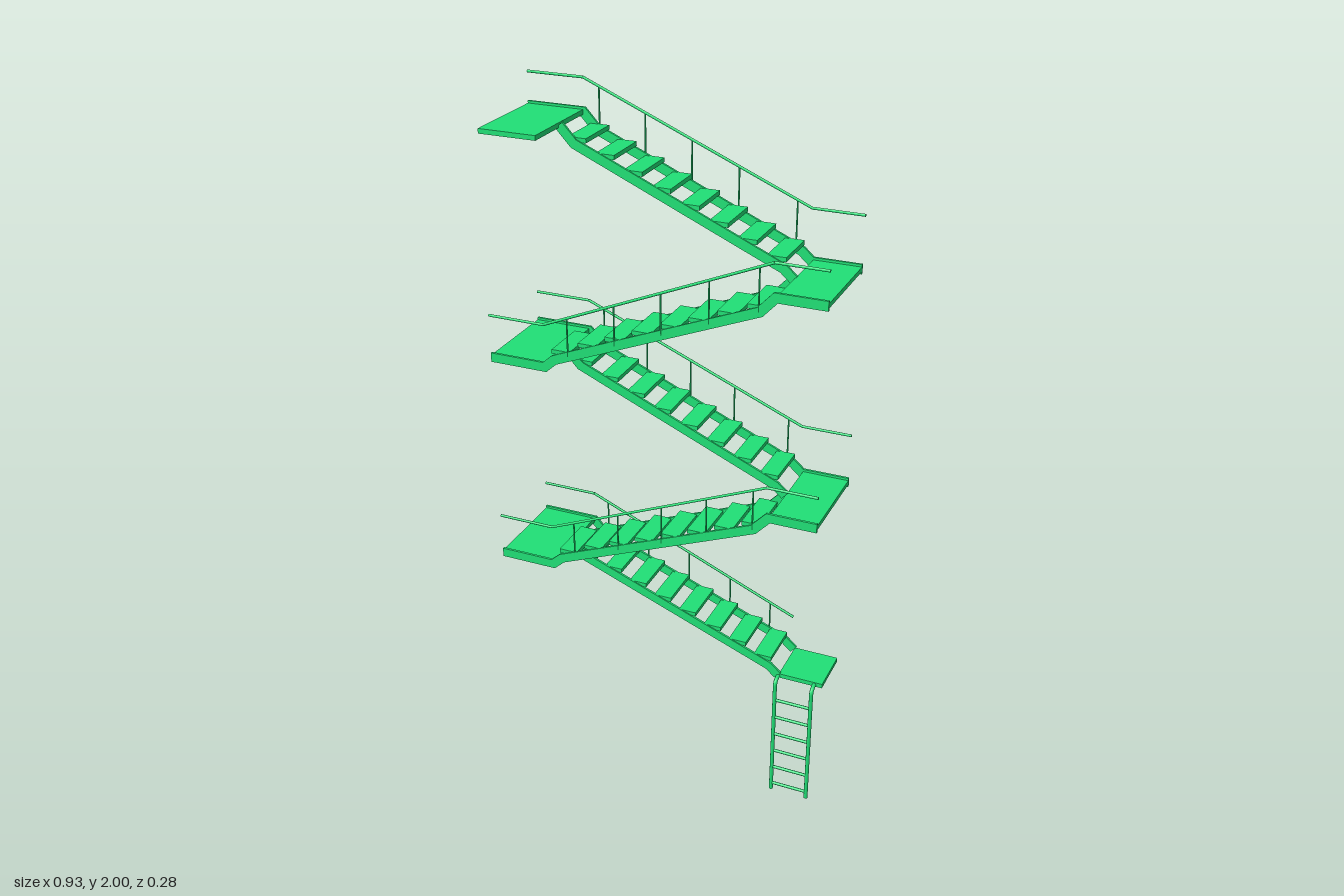
import * as THREE from 'three';

const green = new THREE.MeshStandardMaterial({ color: 0x20e076 });
green.name = 'green paint';

const V = (x, y, z) => new THREE.Vector3(x, y, z);
const DEPTH = 0.135, END = 0.466, LEFT = -0.305, RIGHT = 0.333;

function add(parent, geometry, name) {
  const mesh = new THREE.Mesh(geometry, green);
  mesh.name = name;
  parent.add(mesh);
  return mesh;
}

// Box given by its lower and upper corners
function box(parent, name, x0, x1, y0, y1, z0, z1) {
  add(parent, new THREE.BoxGeometry(x1 - x0, y1 - y0, z1 - z0), name)
    .position.set((x0 + x1) / 2, (y0 + y1) / 2, (z0 + z1) / 2);
}

// Round bar between two points
function bar(parent, name, a, b, r, sides = 8) {
  const mesh = add(parent, new THREE.CylinderGeometry(r, r, a.distanceTo(b), sides), name);
  mesh.position.copy(a).add(b).multiplyScalar(0.5);
  mesh.quaternion.setFromUnitVectors(V(0, 1, 0), b.clone().sub(a).normalize());
}

// Flat steel beam of even height following a bent centre line of [x, y]
function beam(parent, name, points, z, height = 0.026, width = 0.007) {
  const p = points.map(([x, y]) => new THREE.Vector2(x, y));
  const up = [], down = [];
  p.forEach((q, i) => {
    const d0 = q.clone().sub(p[Math.max(i - 1, 0)]).normalize();
    const d1 = p[Math.min(i + 1, p.length - 1)].clone().sub(q).normalize();
    const t = d0.clone().add(d1).normalize();
    const known = d1.length() ? d1 : d0;
    const h = height / 2 / Math.max(0.5, t.dot(known));
    up.push(new THREE.Vector2(q.x - t.y * h, q.y + t.x * h));
    down.unshift(new THREE.Vector2(q.x + t.y * h, q.y - t.x * h));
  });
  const geometry = new THREE.ExtrudeGeometry(new THREE.Shape([...up, ...down]), { depth: width, bevelEnabled: false });
  add(parent, geometry, name).position.z = z - width / 2;
}

// One flight: stringers, treads, handrail and posts
function flight(low, high, back, first) {
  const group = new THREE.Group();
  group.name = back ? 'backFlight' : 'frontFlight';
  const outer = (back ? -1 : 1) * (DEPTH - 0.002);
  const inner = back ? 0.004 : -0.002;
  const yLeft = back ? high : low, yRight = back ? low : high;

  // Bent stringers; the outer one carries on along the landings
  const slope = back
    ? [[LEFT, high], [-0.265, high - 0.043], [0.305, low + 0.025], [RIGHT, low]]
    : [[LEFT, low], [-0.277, low + 0.025], [0.293, high - 0.043], [RIGHT, high]];
  beam(group, 'innerStringer', slope, inner);
  beam(group, 'outerStringer', [[-END, yLeft], ...slope, ...(first ? [] : [[END, yRight]])], outer);

  // Treads
  const n = 8;
  for (let i = 0; i < n; i++) {
    const x = -0.2575 + i * 0.0775;
    const t = back ? 1 - i / (n - 1) : i / (n - 1);
    const y = THREE.MathUtils.lerp(low + 0.048, high - 0.033, t);
    box(group, 'tread', x - 0.026, x + 0.026, y - 0.006, y + 0.006, Math.min(inner, outer), Math.max(inner, outer));
  }

  // Handrail
  const z = (back ? -1 : 1) * DEPTH;
  const railLeft = back ? high + 0.089 : low + 0.121;
  const railRight = back ? low + (first ? 0.11 : 0.14) : high + 0.089;
  const a = V(LEFT, railLeft, z), b = V(0.327, railRight, z);
  bar(group, 'handrail', V(-END, railLeft, z), a, 0.0038);
  bar(group, 'handrail', a, b, 0.0038);
  if (!first) bar(group, 'handrail', b, V(END, railRight, z), 0.0038);

  // Posts from stringer to handrail
  const posts = back ? [-0.26, -0.13, 0, 0.13, first ? 0.255 : 0.288] : [-0.235, -0.1, 0.03, 0.16, 0.29];
  for (const x of posts) {
    const top = THREE.MathUtils.mapLinear(x, a.x, b.x, a.y, b.y);
    const foot = THREE.MathUtils.mapLinear(x, slope[1][0], slope[2][0], slope[1][1], slope[2][1]);
    bar(group, 'railPost', V(x, foot, z), V(x, top, z), 0.0022, 6);
  }
  return group;
}

// Ladder with its side rails bent back to the lowest landing
function ladder(top) {
  const group = new THREE.Group();
  group.name = 'ladder';
  const z = 0.03;
  for (const x of [0.335, 0.443]) {
    bar(group, 'ladderRail', V(x, 0, z), V(x, top - 0.02, z), 0.006);
    const bend = new THREE.QuadraticBezierCurve3(V(x, top - 0.02, z), V(x, top - 0.001, z), V(x, top - 0.001, 0));
    add(group, new THREE.TubeGeometry(bend, 6, 0.006, 8), 'ladderRailBend');
  }
  for (let i = 0; i < 6; i++) {
    const y = 0.021 + i * 0.0603;
    bar(group, 'rung', V(0.335, y, z), V(0.443, y, z), 0.0045);
  }
  return group;
}

export function createModel() {
  const model = new THREE.Group();
  model.name = 'fireEscape';
  const levels = [0.392, 0.681, 0.979, 1.293, 1.591, 1.907];

  // Landings alternate right and left; the lowest is half as deep
  levels.forEach((y, i) => {
    const right = i % 2 === 0;
    box(model, 'landing', right ? RIGHT + 0.004 : -END, right ? END : LEFT, y - 0.0065, y + 0.0065,
      -DEPTH + 0.002, i === 0 ? 0.006 : DEPTH - 0.002);
  });

  for (let i = 0; i < levels.length - 1; i++) {
    model.add(flight(levels[i], levels[i + 1], i % 2 === 0, i === 0));
  }
  model.add(ladder(levels[0]));
  return model;
}
